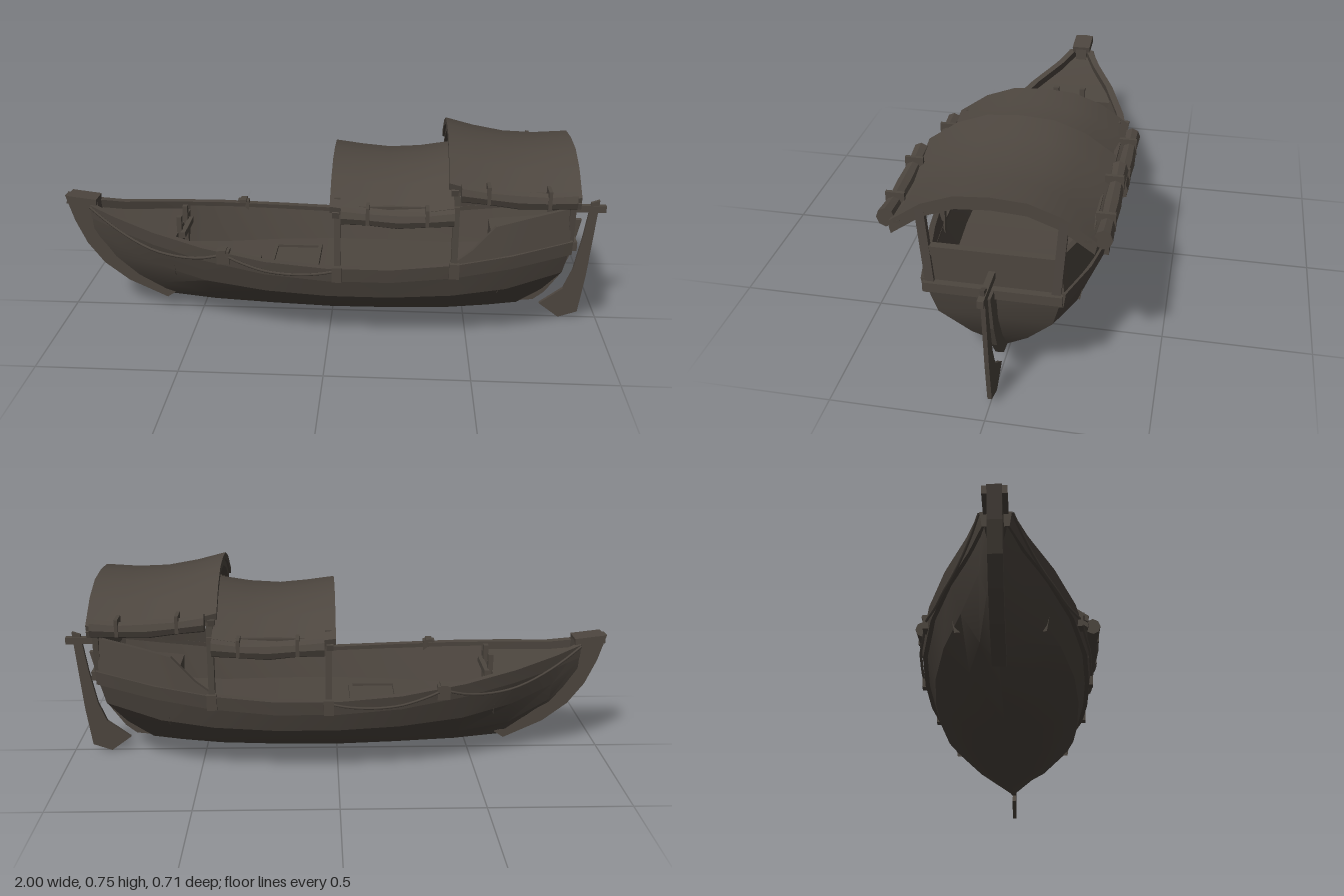
import * as THREE from 'three';
import { toCreasedNormals } from 'three/addons/utils/BufferGeometryUtils.js';

// hull stations: x, sheer y z, chine y z, bilge y z, keel y
const ST = [
  [-0.9, 0.425, 0.04, 0.36, 0.03, 0.3, 0.015, 0.24],
  [-0.8, 0.4, 0.085, 0.28, 0.055, 0.21, 0.03, 0.15],
  [-0.64, 0.375, 0.165, 0.23, 0.12, 0.13, 0.06, 0.06],
  [-0.45, 0.35, 0.235, 0.205, 0.19, 0.115, 0.105, 0.04],
  [-0.22, 0.325, 0.285, 0.195, 0.24, 0.107, 0.14, 0.028],
  [0, 0.312, 0.3, 0.19, 0.26, 0.105, 0.155, 0.02],
  [0.22, 0.312, 0.3, 0.19, 0.26, 0.105, 0.155, 0.022],
  [0.44, 0.33, 0.287, 0.2, 0.25, 0.11, 0.15, 0.03],
  [0.64, 0.36, 0.262, 0.22, 0.225, 0.125, 0.13, 0.045],
  [0.85, 0.4, 0.215, 0.27, 0.18, 0.16, 0.09, 0.06],
];
const FLOOR = 0.2;

// linear interpolation of a station at x
function station(x) {
  let i = 0;
  while (i < ST.length - 2 && x > ST[i + 1][0]) i++;
  const t = (x - ST[i][0]) / (ST[i + 1][0] - ST[i][0]);
  return ST[i].map((v, k) => v + (ST[i + 1][k] - v) * t);
}

// surface through rings of equal length; closed rings get end caps
function loft(rings, closed = true) {
  const n = rings[0].length, pos = rings.flat(2), idx = [];
  for (let r = 0; r < rings.length - 1; r++) {
    for (let i = 0; i < (closed ? n : n - 1); i++) {
      const a = r * n + i, b = r * n + (i + 1) % n;
      idx.push(a, b, a + n, b, b + n, a + n);
    }
  }
  if (closed) {
    const e = (rings.length - 1) * n;
    for (let i = 0; i < n / 2 - 1; i++) {
      const a = i, b = i + 1, c = n - 2 - i, d = n - 1 - i;
      idx.push(a, c, b, a, d, c, e + a, e + b, e + c, e + a, e + c, e + d);
    }
  }
  const g = new THREE.BufferGeometry();
  g.setAttribute('position', new THREE.Float32BufferAttribute(pos, 3));
  g.setIndex(idx);
  return toCreasedNormals(g, 0.35);
}

export function createModel() {
  const boat = new THREE.Group();
  boat.name = 'boat';
  const wood = new THREE.MeshStandardMaterial({ color: 0x4d463f, side: THREE.DoubleSide });
  wood.name = 'dark wood';

  const add = (name, geo) => {
    const m = new THREE.Mesh(geo, wood);
    m.name = name;
    boat.add(m);
    return m;
  };
  const box = (name, x, y, z, w, h, d) => {
    const m = add(name, new THREE.BoxGeometry(w, h, d));
    m.position.set(x, y, z);
    return m;
  };
  // square bar between two points
  const bar = (name, a, b, w, d = w) => {
    const A = new THREE.Vector3(...a), B = new THREE.Vector3(...b), dir = B.clone().sub(A);
    const m = add(name, new THREE.BoxGeometry(w, dir.length(), d));
    m.position.copy(A).add(B).multiplyScalar(0.5);
    m.quaternion.setFromUnitVectors(new THREE.Vector3(0, 1, 0), dir.normalize());
  };
  // flat board cut in the xy plane
  const board = (name, pts, depth) => {
    const g = new THREE.ExtrudeGeometry(new THREE.Shape(pts.map(p => new THREE.Vector2(...p))),
      { depth, bevelEnabled: false });
    g.translate(0, 0, -depth / 2);
    add(name, g);
  };

  // planked hull with raked stern
  const rings = ST.map(([x, sy, sz, cy, cz, ly, lz, ky], i) => {
    const rake = [0, 0.5, 1.3][Math.max(0, i - ST.length + 3)];
    const p = (y, z) => [x - rake * (sy - y) ** 2, y, z];
    return [p(sy, sz), p(cy, cz), p(ly, lz), p(ky, 0), p(ly, -lz), p(cy, -cz), p(sy, -sz)];
  });
  add('hull', loft(rings, false));
  const last = rings[rings.length - 1];
  add('transom', loft([last.slice(0, 4), last.slice(3).reverse()], false));

  // inner planking and floor
  const inside = [-0.57, -0.45, -0.22, 0, 0.22, 0.44, 0.64, 0.82].map(x => {
    const [, sy, sz, cy, cz] = station(x);
    const f = Math.max(FLOOR, cy), z = cz + (sz - cz) * (f - cy) / (sy - cy) - 0.015;
    return [[x, sy, sz - 0.015], [x, f, z], [x, f, -z], [x, sy, -sz + 0.015]];
  });
  add('innerPlanking', loft(inside, false));

  // fore deck, its bulkhead and the stern deck
  const deck = (xs, drop) => loft(xs.map(x => {
    const s = station(x);
    return [[x, s[1] - drop, s[2] - 0.01], [x, s[1] - drop, -s[2] + 0.01]];
  }), false);
  add('foreDeck', deck([-0.9, -0.8, -0.64, -0.57], 0.025));
  add('sternDeck', deck([0.6, 0.7, 0.84], 0.05));
  const bulkhead = (name, x, top) => {
    const s = station(x), z = s[2] - 0.02;
    add(name, loft([[[x, top, z], [x, top, -z]], [[x, FLOOR, s[4]], [x, FLOOR, -s[4]]]], false));
  };
  bulkhead('foreBulkhead', -0.57, 0.34);
  bulkhead('sternBulkhead', 0.6, 0.304);

  // gunwales, quarter boards, posts, ropes on both sides
  for (const s of [1, -1]) {
    add('gunwale', loft(ST.map(([x, y, z]) => [
      [x, y + 0.006, s * (z + 0.008)], [x, y - 0.045, s * (z + 0.001)],
      [x, y - 0.045, s * (z - 0.015)], [x, y + 0.006, s * (z - 0.02)]])));
    add('quarterBoard', loft([[0.43, 0.335], [0.5, 0.385], [0.58, 0.468], [0.7, 0.495], [0.84, 0.522]].map(([x, top]) => {
      const [, y, z] = station(x), zt = z - 0.12 * (top - y);
      return [[x, top, s * zt], [x, y, s * z], [x, y, s * (z - 0.018)], [x, top, s * (zt - 0.018)]];
    })));
    for (const [x, top] of [[0.035, 0.57], [0.44, 0.6]]) {
      const [, y, z] = station(x);
      bar('roofPost', [x, y - 0.04, s * (z - 0.012)], [x, top, s * 0.268], 0.022, 0.026);
      box('postBracket', x, y - 0.015, s * (z + 0.002), 0.035, 0.055, 0.028);
    }
    bar('sternPost', [0.845, 0.38, s * 0.193], [0.84, 0.655, s * 0.215], 0.02, 0.028);
    bar('frontRoofBeam', [0.02, 0.535, s * 0.285], [0.45, 0.54, s * 0.285], 0.022);
    bar('rearRoofBeam', [0.43, 0.605, s * 0.285], [0.85, 0.595, s * 0.285], 0.022);

    // cleat on the rail
    const c = station(-0.37);
    box('cleatBase', -0.37, c[1] - 0.01, s * c[2], 0.045, 0.05, 0.035);
    box('cleatTop', -0.37, c[1] + 0.014, s * c[2], 0.025, 0.012, 0.045);

    // ropes drooping between the cleats
    for (const [a, b, sag] of [[-0.9, -0.37, 0.07], [-0.37, 0.035, 0.035]]) {
      const pts = [];
      for (let i = 0; i <= 8; i++) {
        const t = i / 8, x = a + (b - a) * t, ya = station(a)[1], yb = station(b)[1];
        pts.push(new THREE.Vector3(x, ya + (yb - ya) * t - sag * 4 * t * (1 - t), s * (station(x)[2] + 0.01)));
      }
      add('rope', new THREE.TubeGeometry(new THREE.CatmullRomCurve3(pts), 16, 0.005, 5));
    }
  }

  // arched roofs with sagging ridge, ribs and rolled side blinds
  const ARCH = [[-0.31, -0.115], [-0.21, -0.045], [-0.11, -0.008], [0, 0], [0.11, -0.008], [0.21, -0.045], [0.31, -0.115]];
  const arch = (x, top, th) => [
    ...ARCH.map(([z, d]) => [x, top + d, z]),
    ...ARCH.slice().reverse().map(([z, d]) => [x, top + d - th, z * 0.985])];
  const roof = (name, line, ribs, roll) => {
    add(name, loft(line.map(([x, y]) => arch(x, y, 0.024))));
    for (const [x, y] of ribs) add(name + 'Rib', loft([arch(x - 0.012, y - 0.02, 0.022), arch(x + 0.012, y - 0.02, 0.022)]));
    for (const s of [1, -1]) {
      add(name + 'RolledBlind', loft(roll.map(([x, y], k) => {
        const r = k % 2 ? 0.025 : 0.029, ring = [];
        for (let i = 0; i < 8; i++) {
          const a = i * Math.PI / 4;
          ring.push([x, y + r * 1.1 * Math.sin(a), s * (0.326 + r * Math.cos(a))]);
        }
        return ring;
      })));
      for (const [x, y] of [roll[1], roll[3]]) box(name + 'BlindTie', x, y + 0.012, s * 0.322, 0.012, 0.06, 0.06);
    }
  };
  roof('frontRoof', [[0.01, 0.665], [0.11, 0.652], [0.21, 0.643], [0.32, 0.65], [0.43, 0.668]],
    [[0.03, 0.662], [0.42, 0.665]],
    [[0.05, 0.525], [0.14, 0.519], [0.24, 0.513], [0.34, 0.516], [0.43, 0.526]]);
  roof('rearRoof', [[0.41, 0.758], [0.51, 0.732], [0.62, 0.712], [0.73, 0.708], [0.85, 0.716]],
    [[0.43, 0.752], [0.838, 0.715]],
    [[0.45, 0.615], [0.54, 0.603], [0.64, 0.594], [0.74, 0.592], [0.83, 0.598]]);

  // stern boards
  box('transomBeam', 0.853, 0.385, 0, 0.026, 0.032, 0.43);
  box('sternBoard', 0.835, 0.455, 0, 0.016, 0.12, 0.4);
  box('sternBoardCap', 0.838, 0.51, 0, 0.026, 0.03, 0.4);

  // stem, keel fin, rudder and tiller
  board('stem', [[-1, 0.46], [-0.97, 0.36], [-0.93, 0.27], [-0.87, 0.19], [-0.78, 0.12], [-0.635, 0.052],
    [-0.6, 0.075], [-0.72, 0.14], [-0.82, 0.24], [-0.87, 0.34], [-0.88, 0.44]], 0.045);
  box('stemHead', -0.935, 0.442, 0, 0.11, 0.03, 0.075).rotation.z = -0.12;
  board('keelFin', [[0.64, 0.065], [0.76, 0.078], [0.8, 0.11], [0.85, 0.18], [0.885, 0.27], [0.915, 0.405],
    [0.85, 0.4], [0.82, 0.25], [0.76, 0.15]], 0.018);
  board('rudder', [[0.785, 0.06], [0.86, 0.005], [0.93, 0.03], [0.95, 0.18], [0.975, 0.48], [0.945, 0.47],
    [0.925, 0.33], [0.9, 0.2], [0.87, 0.125]], 0.014);
  box('tiller', 0.925, 0.447, 0, 0.15, 0.025, 0.02);

  // bow fittings: mooring posts, crossbar, centre plank, floor hatch
  for (const z of [0.055, -0.055]) box('mooringPost', -0.565, 0.3, z, 0.018, 0.2, 0.022);
  box('mooringCrossbar', -0.55, 0.335, 0, 0.018, 0.022, 0.16);
  box('centrePlank', -0.4, FLOOR + 0.012, 0, 0.26, 0.02, 0.03);
  box('hatch', -0.14, FLOOR + 0.006, 0, 0.155, 0.012, 0.235);
  for (const s of [1, -1]) {
    box('hatchSide', -0.14, FLOOR + 0.01, s * 0.127, 0.18, 0.02, 0.014);
    box('hatchEnd', -0.14 + s * 0.085, FLOOR + 0.01, 0, 0.014, 0.02, 0.26);
  }
  return boat;
}
